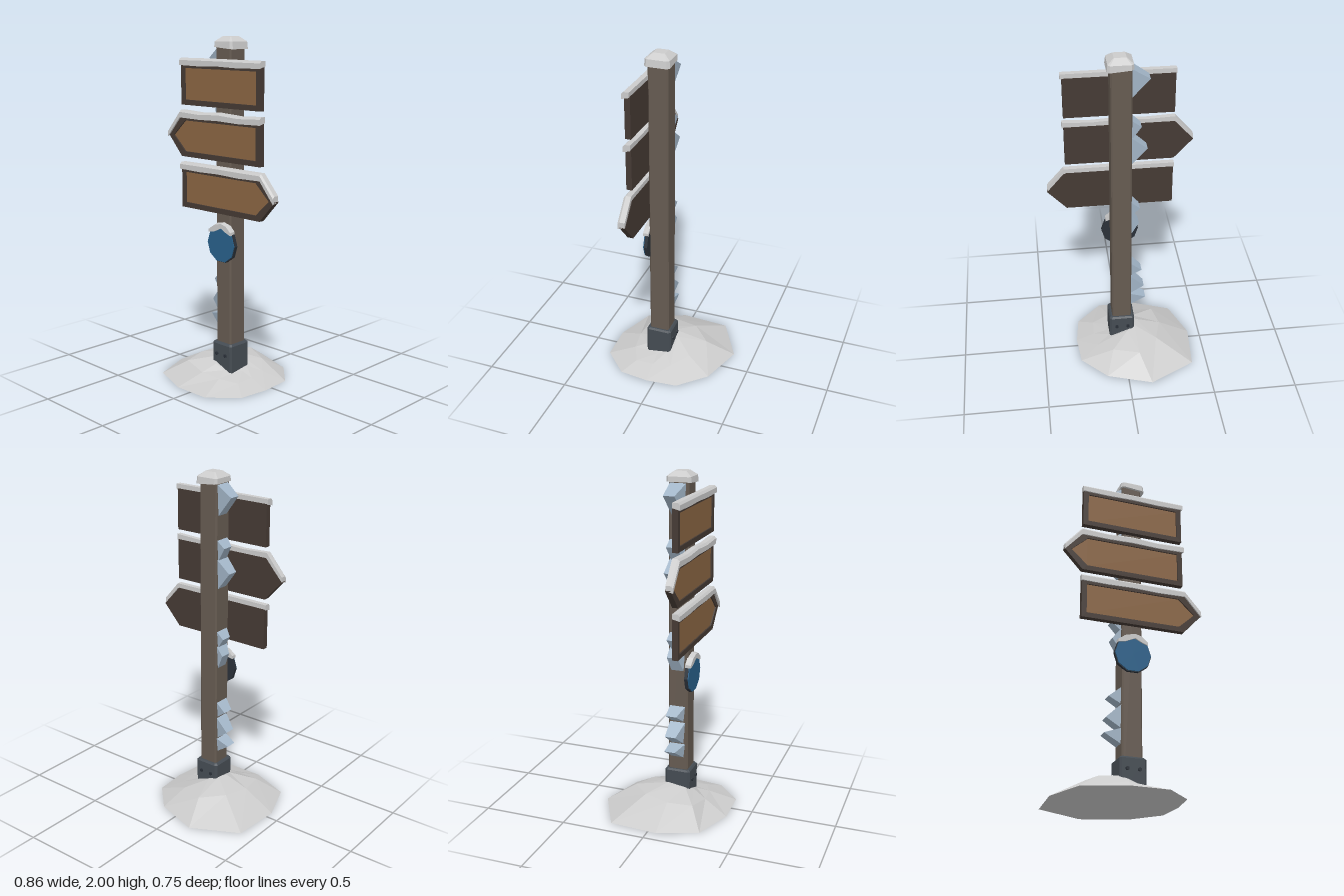
import * as THREE from 'three';

const mat = (color) => new THREE.MeshStandardMaterial({ color, flatShading: true });
const SNOW = mat(0xcccccc), WOOD = mat(0x665b51), FRAME = mat(0x453a34), PANEL = mat(0x8a6543);
const METAL = mat(0x454c53), BLUE = mat(0x28608a), ICE = mat(0xa3b6c8), RIM = mat(0x2a3038);
const CX = 0.006, CZ = 0.05; // post axis

// Skin over rings of equal point count, closed at both ends; faces turned outward
function loft(rings) {
  const tris = [], n = rings[0].length;
  for (let r = 0; r + 1 < rings.length; r++) {
    const a = rings[r], b = rings[r + 1];
    for (let i = 0; i < n; i++) {
      const j = (i + 1) % n;
      tris.push([a[i], a[j], b[i]], [a[j], b[j], b[i]]);
    }
  }
  const first = rings[0], last = rings[rings.length - 1];
  for (let i = 1; i + 1 < n; i++) {
    tris.push([first[0], first[i + 1], first[i]], [last[0], last[i], last[i + 1]]);
  }
  const v = (p) => new THREE.Vector3(...p);
  const volume = tris.reduce((s, [a, b, c]) => s + v(a).dot(v(b).cross(v(c))), 0);
  if (volume < 0) tris.forEach((t) => t.reverse());
  const g = new THREE.BufferGeometry();
  g.setAttribute('position', new THREE.Float32BufferAttribute(tris.flat(2), 3));
  g.computeVertexNormals();
  return g;
}

// Square ring with cut corners at height y
function squareRing(y, h, c, dx = 0, tilt = 0) {
  const k = h - c;
  return [[h, k], [k, h], [-k, h], [-h, k], [-h, -k], [-k, -h], [k, -h], [h, -k]]
    .map(([x, z]) => [CX + dx + x, y - tilt * x, CZ + z]);
}

function add(parent, name, geometry, material) {
  const m = new THREE.Mesh(geometry, material);
  m.name = name;
  parent.add(m);
  return m;
}

// Board outline inset by d; tip is -1, 0 or 1 for the pointed side
function outline(tip, d) {
  const l = -0.305 + d, r = 0.315 - d, t = 0.12 - d, cut = tip ? d * 0.4 : 0;
  const pts = tip < 0 ? [[l + 0, -t], [r, -t], [r, t], [l, t], [-0.415 + d + cut, 0]]
    : tip > 0 ? [[l, -t], [r, -t], [0.425 - d - cut, 0], [r, t], [l, t]]
      : [[l, -t], [r, -t], [r, t], [l, t]];
  return pts.map((p) => new THREE.Vector2(...p));
}

function slab(shape, z0, z1) {
  return new THREE.ExtrudeGeometry(shape, { depth: z1 - z0, bevelEnabled: false }).translate(0, 0, z0);
}

function makeSign(y, tip) {
  const sign = new THREE.Group();
  sign.name = 'signBoard';
  sign.position.y = y;
  const rim = new THREE.Shape(outline(tip, 0));
  rim.holes.push(new THREE.Path(outline(tip, 0.03)));
  add(sign, 'boardBack', slab(new THREE.Shape(outline(tip, 0)), 0.105, 0.117), FRAME);
  add(sign, 'boardFrame', slab(rim, 0.117, 0.138), FRAME);
  add(sign, 'boardPanel', slab(new THREE.Shape(outline(tip, 0.029)), 0.116, 0.13), PANEL);

  // Snow strip following the upper edge
  const path = [[-0.31, 0.12], [-0.15, 0.117], [0.0, 0.121], [0.16, 0.116], [0.325, 0.12]];
  if (tip < 0) path.unshift([-0.413, 0.003]);
  if (tip > 0) path.push([0.423, 0.003]);
  const rings = path.map(([x, py], i) => {
    const h = 0.026 + (i % 2) * 0.004;
    return [[0.107, -0.003], [0.15, -0.014], [0.15, h - 0.012], [0.138, h], [0.107, h]]
      .map(([z, dy]) => [x, py + dy, z]);
  });
  add(sign, 'boardSnow', loft(rings), SNOW);
  return sign;
}

export function createModel() {
  const model = new THREE.Group();
  model.name = 'signpost';

  // Snow mound: ground outline, shoulder and a small hub around the collar
  const ground = [[-0.14, -0.375], [0.125, -0.29], [0.275, -0.135], [0.29, 0.05], [0.267, 0.225],
    [0.117, 0.367], [-0.105, 0.372], [-0.34, 0.283], [-0.43, 0.05], [-0.41, -0.235]];
  const shoulder = [[-0.08, 0.1, -0.21], [0.075, 0.085, -0.15], [0.165, 0.052, -0.06], [0.18, 0.045, 0.05],
    [0.175, 0.04, 0.16], [0.07, 0.055, 0.21], [-0.055, 0.065, 0.225], [-0.21, 0.09, 0.195],
    [-0.24, 0.1, 0.05], [-0.2, 0.11, -0.1]];
  const hub = ground.map(([x, z]) => {
    const a = Math.atan2(z - CZ, x - CX), c = Math.cos(a) * 0.095, s = Math.sin(a) * 0.095;
    return [CX + c, 0.105 - 0.4 * c - 0.15 * s, CZ + s];
  });
  add(model, 'snowMound', loft([ground.map(([x, z]) => [x, 0, z]), shoulder, hub]), SNOW);

  // Post, metal collar and snow cap
  add(model, 'post', loft([squareRing(0.03, 0.059, 0.008), squareRing(1.96, 0.059, 0.008)]), WOOD);
  add(model, 'collar', loft([squareRing(0.03, 0.077, 0.012), squareRing(0.225, 0.077, 0.012),
    squareRing(0.235, 0.068, 0.01)]), METAL);
  add(model, 'postSnowCap', loft([squareRing(1.937, 0.073, 0.014, 0.006, 0.08),
    squareRing(1.972, 0.07, 0.012, 0.004), squareRing(2, 0.034, 0.003, 0.004)]), SNOW);

  // Collar bolts, front and back
  for (const side of [-1, 1]) {
    for (const x of [-0.03, 0.04]) {
      const bolt = add(model, 'collarBolt', new THREE.CylinderGeometry(0.011, 0.011, 0.014, 6), RIM);
      bolt.rotation.x = Math.PI / 2;
      bolt.position.set(x, 0.165, CZ + side * 0.079);
    }
  }

  // Boards from top to bottom
  [[1.73, 0], [1.43, -1], [1.13, 1]].forEach(([y, tip]) => model.add(makeSign(y, tip)));

  // Round marker: dark rim, blue face, snow on top
  const marker = new THREE.Group();
  marker.name = 'roundMarker';
  marker.position.set(0.005, 0.83, 0);
  model.add(marker);
  const disc = (r, z0, z1) => new THREE.CylinderGeometry(r, r, z1 - z0, 10)
    .rotateY(Math.PI / 2).rotateX(Math.PI / 2).translate(0, 0, (z0 + z1) / 2);
  add(marker, 'markerRim', disc(0.11, 0.104, 0.124), RIM);
  add(marker, 'markerFace', disc(0.106, 0.11, 0.13), BLUE);
  const crest = [[-0.09, 0.062, 0.02], [-0.045, 0.07, 0.048], [0.01, 0.095, 0.034],
    [0.05, 0.075, 0.045], [0.085, 0.062, 0.022]];
  add(marker, 'markerSnow', loft(crest.map(([x, y, h]) => [
    [x, y, 0.104], [x, y, 0.138], [x, y + h * 0.8, 0.138], [x, y + h, 0.104]])), SNOW);

  // Ice wedges down the right side: top, bottom, tip x, tip y
  const ice = [[1.94, 1.76, -0.15, 1.88], [1.63, 1.5, -0.105, 1.59], [1.52, 1.34, -0.14, 1.45],
    [1.09, 0.98, -0.1, 1.05], [1.0, 0.85, -0.095, 0.945], [0.64, 0.54, -0.115, 0.59],
    [0.54, 0.4, -0.13, 0.465], [0.4, 0.31, -0.14, 0.375]];
  const faceX = CX - 0.055;
  ice.forEach(([top, bottom, tx, ty]) => add(model, 'iceWedge', loft([
    [[faceX, top, 0.0], [faceX, bottom, 0.01], [tx, ty, -0.005]],
    [[faceX, top, 0.095], [faceX, bottom, 0.085], [tx, ty, 0.06]]]), ICE));

  return model;
}
